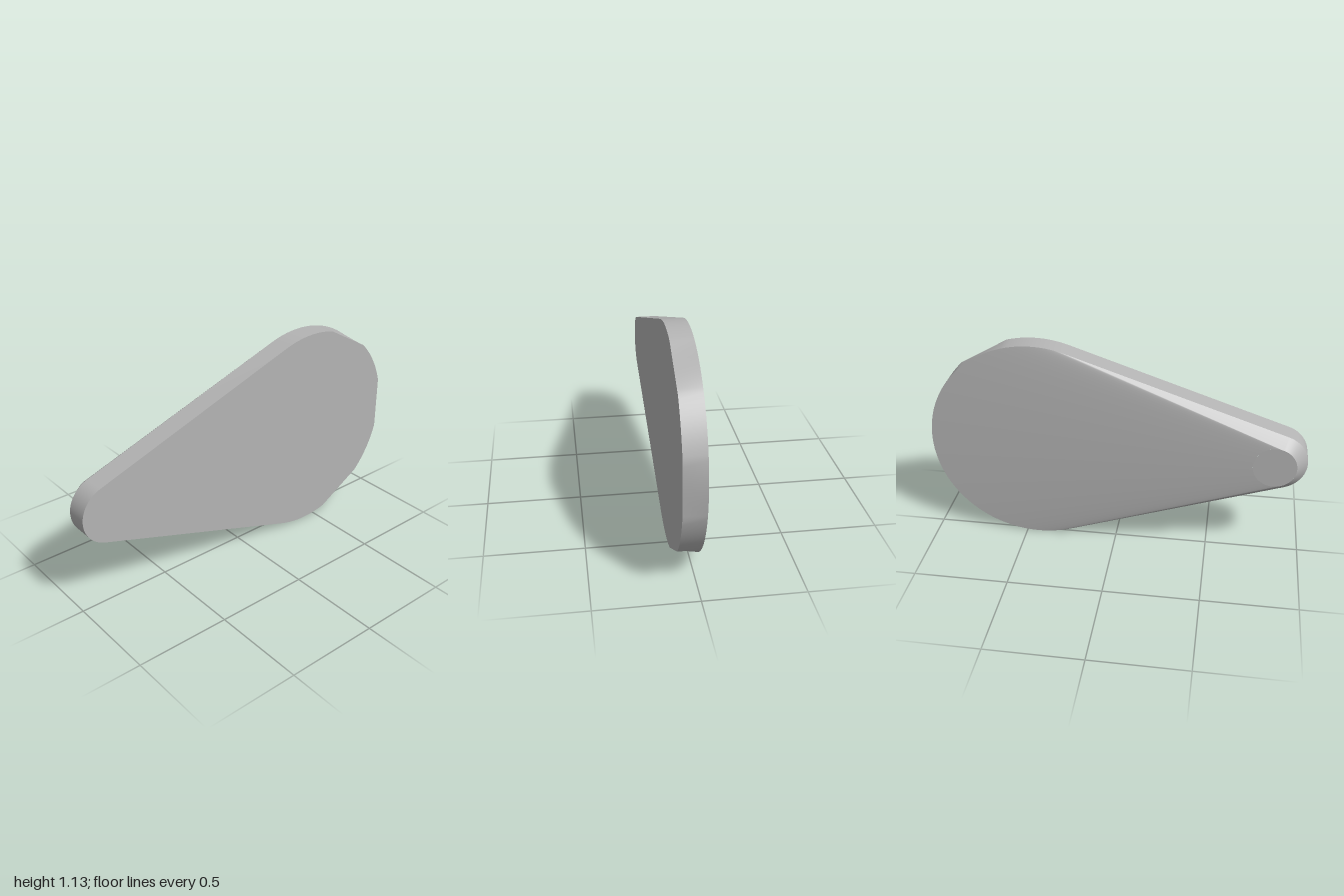
import * as THREE from 'three';
import { toCreasedNormals } from 'three/addons/utils/BufferGeometryUtils.js';

const MID = 0.565, FRONT = 0.0875, RIM = -0.025, BACK = -0.0875;
const BIG = { x: 0.435, r: 0.565 };
const SMALL = { x: -0.842, r: 0.158 };
const TIP = { x: -0.832, r: 0.112 };
const DEG = Math.PI / 180;

const onCircle = (c, a, z) => new THREE.Vector3(c.x + c.r * Math.cos(a), MID + c.r * Math.sin(a), z);

// Closed skin between two matching rings, the first nearer the front
function loft(a, b, crease) {
  const n = a.length, index = [];
  for (let i = 0; i < n; i++) {
    const j = (i + 1) % n;
    index.push(i, n + i, n + j, i, n + j, j);
  }
  const g = new THREE.BufferGeometry().setFromPoints([...a, ...b]);
  g.setIndex(index);
  return toCreasedNormals(g, crease);
}

export function createModel() {
  const group = new THREE.Group();
  group.name = 'teardropPlate';
  const grey = new THREE.MeshStandardMaterial({ color: 0xb4b4b4 });
  grey.name = 'grey';
  const add = (name, geometry) => {
    const mesh = new THREE.Mesh(geometry, grey);
    mesh.name = name;
    group.add(mesh);
  };

  // Teardrop outline: large arc, then small arc, joined by tangent lines
  const tangent = Math.PI / 2 + Math.asin((BIG.r - SMALL.r) / (BIG.x - SMALL.x));
  const bigAngles = [-tangent];
  for (let d = -105; d <= 105; d += 2.5) bigAngles.push(d * DEG);
  bigAngles.push(tangent);

  const front = [], rim = [], tip = [];
  for (const a of bigAngles) {
    // Three flats are cut into the large arc at the front, fading out at the rim
    let r = BIG.r;
    for (const flat of [-60, 0, 60]) {
      const off = Math.abs(a - flat * DEG);
      if (off < 15 * DEG) r = BIG.r * Math.cos(15 * DEG) / Math.cos(off);
    }
    front.push(onCircle({ x: BIG.x, r }, a, FRONT));
    rim.push(onCircle(BIG, a, RIM));
    tip.push(onCircle(TIP, a, BACK));
  }
  const steps = 32;
  for (let i = 0; i <= steps; i++) {
    const a = tangent + (2 * Math.PI - 2 * tangent) * i / steps;
    front.push(onCircle(SMALL, a, FRONT));
    rim.push(onCircle(SMALL, a, RIM));
    tip.push(onCircle(TIP, a, BACK));
  }

  // Flat front
  const face = new THREE.ShapeGeometry(new THREE.Shape(front.map(p => new THREE.Vector2(p.x, p.y))));
  add('frontFace', face.translate(0, 0, FRONT));

  // Side wall and sloping back
  add('sideWall', loft(front, rim, 0.5));
  add('slopedBack', loft(rim, tip, 0.4));

  // Small flat disc at the raised tip
  const disc = new THREE.CircleGeometry(TIP.r, 72).rotateY(Math.PI);
  add('tipDisc', disc.translate(TIP.x, MID, BACK));

  return group;
}
